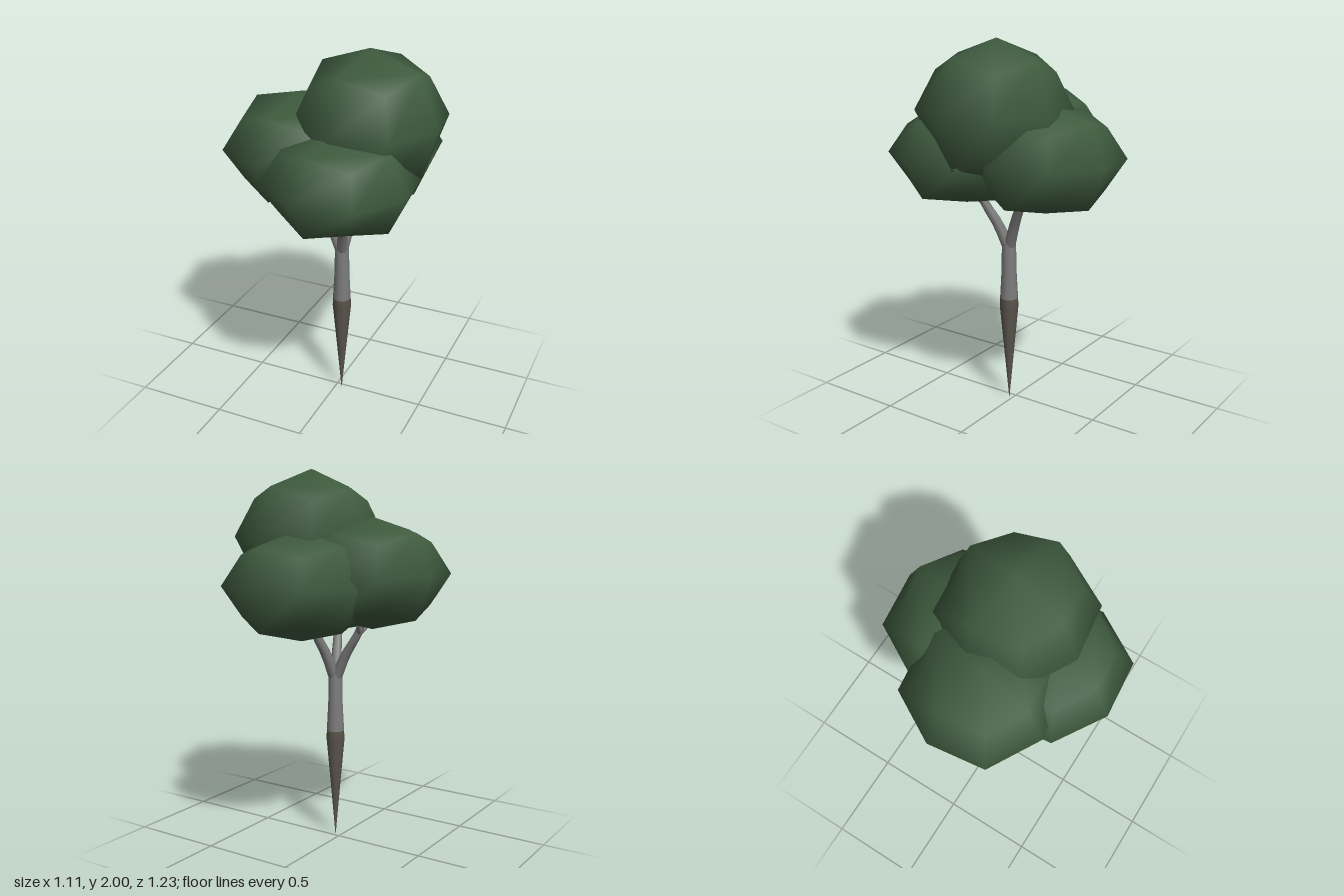
import * as THREE from 'three';
import { mergeVertices } from 'three/addons/utils/BufferGeometryUtils.js';

const leafMaterial = new THREE.MeshStandardMaterial({ color: 0x3e5a3e });
const barkMaterial = new THREE.MeshStandardMaterial({ color: 0x7c7c7c });
const rootMaterial = new THREE.MeshStandardMaterial({ color: 0x5a554c });

// A cube rounded once: edge points pulled in to 0.75, corners to 0.556
function clumpGeometry() {
  let geo = new THREE.BoxGeometry(2, 2, 2, 2, 2, 2);
  geo.deleteAttribute('uv');
  geo.deleteAttribute('normal');
  geo = mergeVertices(geo);
  const pos = geo.attributes.position;
  const v = new THREE.Vector3();
  const pull = [1, 1, 0.75, 0.556];
  for (let i = 0; i < pos.count; i++) {
    v.fromBufferAttribute(pos, i);
    v.multiplyScalar(pull[Math.round(v.lengthSq())]);
    pos.setXYZ(i, v.x, v.y, v.z);
  }
  geo.computeVertexNormals();
  return geo;
}

// A tube along a curve whose radius follows the given list
function limb(name, points, radii, sides = 8) {
  const curve = new THREE.CatmullRomCurve3(points.map(p => new THREE.Vector3(...p)));
  const steps = (points.length - 1) * 3;
  const geo = new THREE.TubeGeometry(curve, steps, 1, sides, false);
  const pos = geo.attributes.position;
  const v = new THREE.Vector3();
  for (let i = 0; i <= steps; i++) {
    const centre = curve.getPointAt(i / steps);
    const f = (i / steps) * (radii.length - 1);
    const k = Math.min(Math.floor(f), radii.length - 2);
    const r = THREE.MathUtils.lerp(radii[k], radii[k + 1], f - k);
    for (let j = 0; j <= sides; j++) {
      const n = i * (sides + 1) + j;
      v.fromBufferAttribute(pos, n).sub(centre).multiplyScalar(r).add(centre);
      pos.setXYZ(n, v.x, v.y, v.z);
    }
  }
  const mesh = new THREE.Mesh(geo, barkMaterial);
  mesh.name = name;
  return mesh;
}

function lathe(name, profile, material) {
  const points = profile.map(([r, y]) => new THREE.Vector2(r, y));
  const mesh = new THREE.Mesh(new THREE.LatheGeometry(points, 10), material);
  mesh.name = name;
  mesh.position.set(0.035, 0, 0.02);
  return mesh;
}

export function createModel() {
  const tree = new THREE.Group();
  tree.name = 'tree';

  // Leaf clumps: centre, half width, half height, turn
  const geo = clumpGeometry();
  const clumps = [
    ['topLeafClump', [0.18, 1.64, 0], 0.38, 0.36, -0.19],
    ['frontLeafClump', [0.12, 1.395, 0.235], 0.388, 0.27, -0.23],
    ['backLeafClump', [0.075, 1.41, -0.235], 0.385, 0.285, -0.19],
    ['rightLeafClump', [-0.185, 1.465, 0.04], 0.383, 0.29, -0.19],
  ];
  for (const [name, centre, w, h, turn] of clumps) {
    const clump = new THREE.Mesh(geo, leafMaterial);
    clump.name = name;
    clump.position.set(...centre);
    clump.scale.set(w, h, w);
    clump.rotation.y = turn;
    tree.add(clump);
  }
  tree.children[0].rotation.z = 0.03;

  // Trunk, pointed at the foot
  tree.add(lathe('trunkFoot', [[0.001, 0], [0.026, 0.28], [0.051, 0.55], [0.049, 0.6]], rootMaterial));
  tree.add(lathe('trunk', [[0.049, 0.6], [0.041, 0.75], [0.038, 0.91], [0.028, 0.95], [0, 0.97]], barkMaterial));

  // Three main branches, each with a pair of twigs near the leaves
  const branches = [
    ['rightBranch', [-0.115, 1.16, 0.02], [-0.18, 1.36, 0.03]],
    ['frontBranch', [0.095, 1.14, 0.14], [0.12, 1.34, 0.22]],
    ['backBranch', [0.09, 1.16, -0.1], [0.09, 1.36, -0.22]],
  ];
  for (const [name, fork, tip] of branches) {
    const start = [0.035, 0.88, 0.02];
    const mid = start.map((s, i) => s + (fork[i] - s) * (i === 1 ? 0.5 : 0.42));
    tree.add(limb(name, [start, mid, fork, tip], [0.032, 0.027, 0.021, 0.008]));

    // Twigs spread sideways and outward from the fork
    const out = new THREE.Vector2(fork[0] - start[0], fork[2] - start[2]).normalize();
    for (const side of [-1, 1]) {
      const dx = out.x * 0.5 - out.y * side, dz = out.y * 0.5 + out.x * side;
      const base = [fork[0], fork[1] - 0.01, fork[2]];
      const bend = [fork[0] + dx * 0.03, fork[1] + 0.01, fork[2] + dz * 0.03];
      const end = [fork[0] + dx * 0.06, fork[1] + 0.04, fork[2] + dz * 0.06];
      tree.add(limb(name + 'Twig', [base, bend, end], [0.014, 0.011, 0.006], 6));
    }
  }
  return tree;
}
